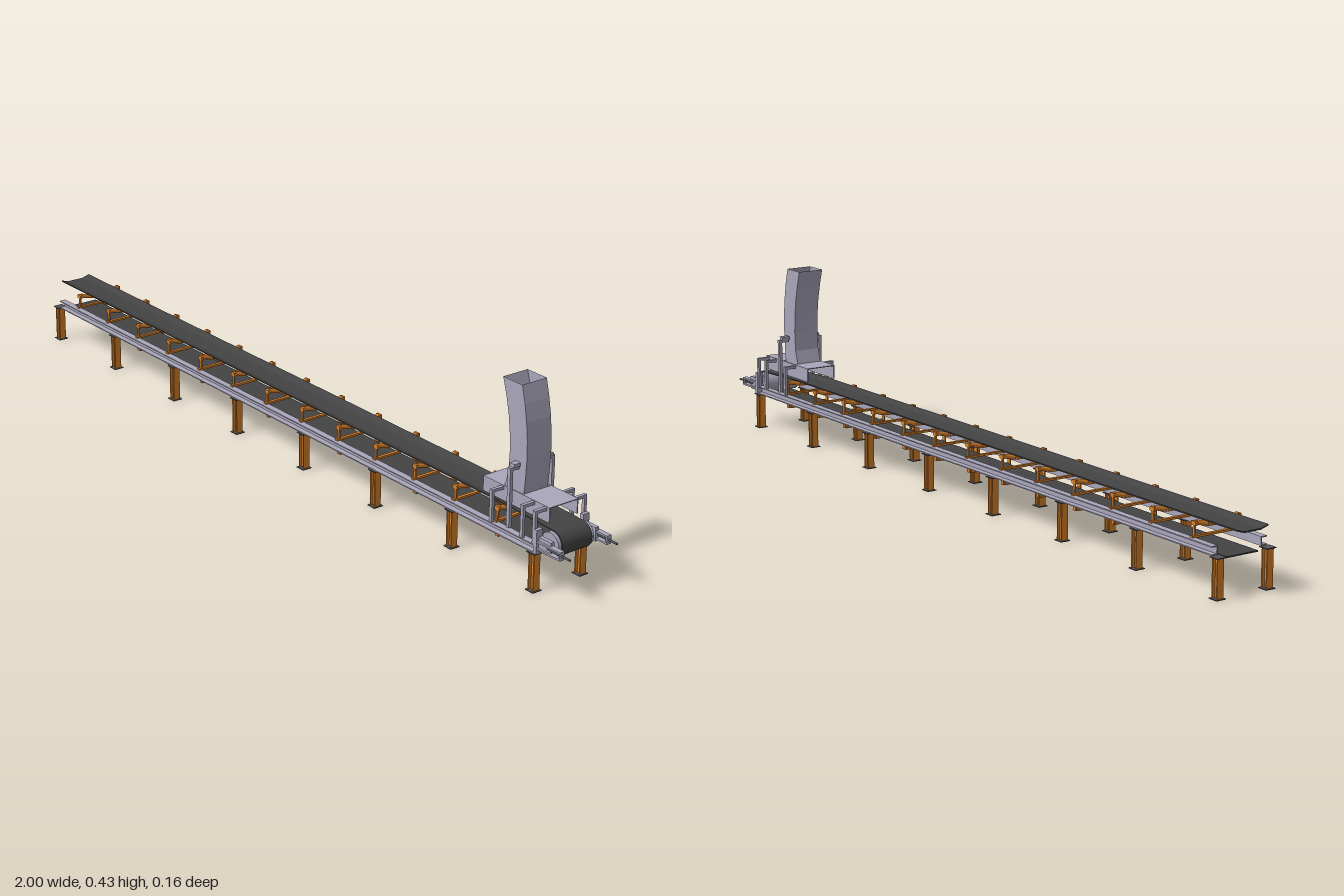
import * as THREE from 'three';

const mat = (color, extra = {}) => {
  const m = new THREE.MeshStandardMaterial(extra);
  m.color.set(color);
  return m;
};
const ORANGE = mat(0xd9812a), STEEL = mat(0xa9a7ba), DARK = mat(0x55555c);
const BELT = mat(0x444444);
const SHEET = mat(0xa9a7ba, { side: THREE.DoubleSide, flatShading: true });

function add(parent, name, geo, m, x = 0, y = 0, z = 0) {
  const mesh = new THREE.Mesh(geo, m);
  mesh.name = name;
  mesh.position.set(x, y, z);
  parent.add(mesh);
  return mesh;
}

// box given by its minimum and maximum corners
function box(parent, name, m, x0, x1, y0, y1, z0, z1) {
  return add(parent, name, new THREE.BoxGeometry(x1 - x0, y1 - y0, Math.abs(z1 - z0)), m,
    (x0 + x1) / 2, (y0 + y1) / 2, (z0 + z1) / 2);
}

// cylinder lying across the conveyor
function roller(parent, name, m, r, len, x, y, z = 0, tilt = 0) {
  const c = add(parent, name, new THREE.CylinderGeometry(r, r, len, 20), m, x, y, z);
  c.rotation.x = Math.PI / 2 + tilt;
  return c;
}

// skin over a row of closed rings, optionally capped
function loft(rings, capped) {
  const n = rings[0].length, pos = rings.flat(2), idx = [];
  for (let i = 0; i < rings.length - 1; i++)
    for (let j = 0; j < n; j++) {
      const a = i * n + j, b = i * n + (j + 1) % n;
      idx.push(a, b, a + n, b, b + n, a + n);
    }
  if (capped) {
    const last = (rings.length - 1) * n;
    for (let j = 0; j < n / 2 - 1; j++) {
      const a = j, b = j + 1, c = n - 2 - j, d = n - 1 - j;
      idx.push(a, d, b, b, d, c, last + a, last + b, last + d, last + b, last + c, last + d);
    }
  }
  let g = new THREE.BufferGeometry();
  g.setAttribute('position', new THREE.Float32BufferAttribute(pos, 3));
  g.setIndex(idx);
  g = g.toNonIndexed();
  g.computeVertexNormals();
  return g;
}

// belt: troughed carrying run, wrap round the head drum, flat return run
function beltGeometry() {
  const cx = 0.92, cy = 0.1125, r = 0.03, t = 0.003;
  const stations = [[-1, 0.1425, 0, 1, 1], [0.74, 0.1425, 0, 1, 1]];
  for (let i = 0; i <= 20; i++) {
    const a = Math.PI / 2 - Math.PI * i / 20, c = Math.cos(a), s = Math.sin(a);
    stations.push([cx + r * c, cy + r * s, c, s, 0]);
  }
  stations.push([-0.97, cy - r, 0, -1, 0]);
  const zs = [-0.042, -0.022, 0.022, 0.042];
  return loft(stations.map(([x, y, nx, ny, trough]) => {
    const at = (z, d) => {
      const o = d + (Math.abs(z) > 0.03 ? 0.006 * trough : 0);
      return [x + nx * o, y + ny * o, z];
    };
    return [...zs.map(z => at(z, 0)).reverse(), ...zs.map(z => at(z, -t))].reverse();
  }), true);
}

function leg(parent, x, z) {
  const g = new THREE.Group();
  g.name = 'leg';
  g.position.set(x, 0, z);
  parent.add(g);
  box(g, 'footPlate', DARK, -0.0125, 0.0125, 0, 0.002, -0.0125, 0.0125);
  box(g, 'topPlate', DARK, -0.0125, 0.0125, 0.088, 0.09, -0.0125, 0.0125);
  box(g, 'legWeb', ORANGE, -0.007, 0.007, 0.002, 0.088, -0.0015, 0.0015);
  for (const s of [-1, 1])
    box(g, 'legFlange', ORANGE, s * 0.0075 - 0.0015, s * 0.0075 + 0.0015, 0.002, 0.088, -0.0085, 0.0085);
}

// troughing idler frame with three rolls
function idler(parent, x) {
  const g = new THREE.Group();
  g.name = 'carryingIdler';
  g.position.x = x;
  parent.add(g);
  box(g, 'idlerBeam', ORANGE, -0.004, 0.004, 0.109, 0.114, -0.066, 0.066);
  roller(g, 'centreRoll', ORANGE, 0.0055, 0.042, 0, 0.1335);
  for (const s of [-1, 1]) {
    roller(g, 'wingRoll', ORANGE, 0.0055, 0.032, 0, 0.138, s * 0.04, -s * 0.24);
    box(g, 'idlerPost', ORANGE, -0.003, 0.003, 0.11, 0.14, s * 0.0585 - 0.002, s * 0.0585 + 0.002);
    box(g, 'idlerHead', ORANGE, -0.007, 0.007, 0.136, 0.145, s * 0.0585 - 0.003, s * 0.0585 + 0.003);
  }
}

function returnRoller(parent, x) {
  const g = new THREE.Group();
  g.name = 'returnIdler';
  parent.add(g);
  roller(g, 'returnRoll', ORANGE, 0.0055, 0.106, x, 0.078);
  roller(g, 'returnShaft', ORANGE, 0.0025, 0.118, x, 0.078);
  for (const s of [-1, 1])
    box(g, 'returnHanger', ORANGE, x - 0.005, x + 0.005, 0.075, 0.092, s * 0.058 - 0.0015, s * 0.058 + 0.0015);
}

// everything carried on one side of the frame
function sideFrame(parent, s) {
  const g = new THREE.Group();
  g.name = s > 0 ? 'frontSideFrame' : 'backSideFrame';
  parent.add(g);
  const b = (name, m, x0, x1, y0, y1, z0, z1) => box(g, name, m, x0, x1, y0, y1, s * z0, s * z1);

  // channel rail
  b('railWeb', STEEL, -0.96, 0.905, 0.09, 0.11, 0.058, 0.0605);
  b('railBottomFlange', STEEL, -0.96, 0.905, 0.09, 0.0925, 0.058, 0.0745);
  b('railTopFlange', STEEL, -0.96, 0.905, 0.1075, 0.11, 0.058, 0.0745);

  // head drum bearing and take-up
  b('bearingPlate', STEEL, 0.895, 0.905, 0.09, 0.145, 0.057, 0.0745);
  b('bearingHousing', STEEL, 0.905, 0.942, 0.096, 0.128, 0.058, 0.068);
  for (const y of [0.102, 0.118])
    b('takeUpGuide', STEEL, 0.9, 0.975, y - 0.002, y + 0.002, 0.06, 0.073);
  b('takeUpEnd', STEEL, 0.971, 0.975, 0.1, 0.12, 0.06, 0.073);
  const rod = add(g, 'takeUpScrew', new THREE.CylinderGeometry(0.0025, 0.0025, 0.07, 12), DARK, 0.965, 0.11, s * 0.0665);
  rod.rotation.z = Math.PI / 2;

  // skirt brackets
  for (const x of [0.757, 0.855, 0.893]) {
    b('skirtPost', STEEL, x - 0.004, x + 0.004, 0.11, 0.185, 0.066, 0.073);
    b('skirtArm', STEEL, x - 0.004, x + 0.004, 0.178, 0.185, 0.04, 0.066);
  }

  // chute bracket
  b('chutePost', STEEL, 0.796, 0.805, 0.11, 0.247, 0.055, 0.063);
  b('chuteArm', STEEL, 0.796, 0.805, 0.24, 0.247, 0.036, 0.055);
  b('chuteClamp', STEEL, 0.793, 0.808, 0.247, 0.255, 0.034, 0.055);
}

export function createModel() {
  const model = new THREE.Group();
  model.name = 'beltConveyor';

  add(model, 'belt', beltGeometry(), BELT);

  // legs, rails and side fittings
  for (const s of [-1, 1]) {
    sideFrame(model, s);
    for (let i = 0; i < 8; i++) leg(model, -0.972 + 0.2663 * i, s * 0.0665);
  }

  // idlers
  for (let i = 0; i < 13; i++) {
    const x = -0.885 + 0.1374 * i;
    idler(model, x);
    if (i >= 2) returnRoller(model, x);
  }

  // head drum
  roller(model, 'headDrum', STEEL, 0.0268, 0.1, 0.92, 0.1125);
  roller(model, 'drumShaft', STEEL, 0.004, 0.13, 0.92, 0.1125);

  // skirt box over the loading zone, open at both ends
  const skirt = new THREE.Group();
  skirt.name = 'skirtBox';
  model.add(skirt);
  for (const s of [-1, 1])
    box(skirt, 'skirtSide', STEEL, 0.695, 0.905, 0.152, 0.187, s * 0.038, s * 0.0405);
  box(skirt, 'skirtTopRear', STEEL, 0.695, 0.76, 0.185, 0.187, -0.0405, 0.0405);
  box(skirt, 'skirtTopFront', STEEL, 0.821, 0.905, 0.185, 0.187, -0.0405, 0.0405);

  // curved feed chute, open top and bottom: y, x from, x to
  const profile = [[0.18, 0.758, 0.82], [0.22, 0.77, 0.824], [0.27, 0.773, 0.827],
    [0.31, 0.771, 0.826], [0.35, 0.766, 0.822], [0.39, 0.757, 0.815], [0.43, 0.745, 0.805]];
  add(model, 'feedChute', loft(profile.map(([y, a, b]) =>
    [[a, y, 0.0375], [b, y, 0.0375], [b, y, -0.0305], [a, y, -0.0305]]), false), SHEET);

  return model;
}
